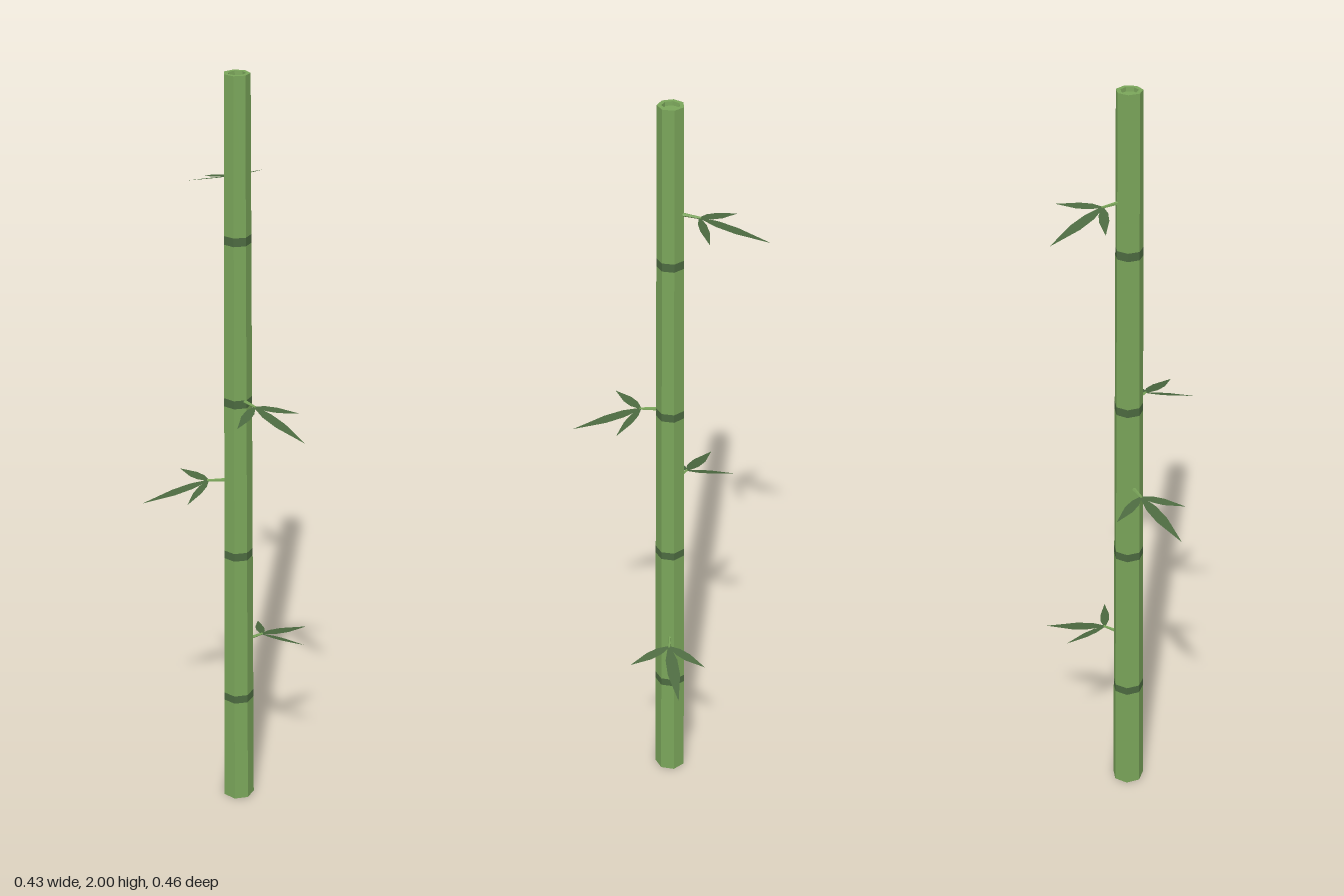
import * as THREE from 'three';

const SIDES = 7;
const stalkMat = new THREE.MeshStandardMaterial({ color: 0x7aa55a, flatShading: true });
const nodeMat = new THREE.MeshStandardMaterial({ color: 0x4c6a40, flatShading: true });
const leafMat = new THREE.MeshStandardMaterial({ color: 0x4c6a40, flatShading: true, side: THREE.DoubleSide });

const radiusAt = (y) => THREE.MathUtils.lerp(0.042, 0.033, y / 2);

function add(parent, geometry, material, name) {
  const mesh = new THREE.Mesh(geometry, material);
  mesh.name = name;
  parent.add(mesh);
  return mesh;
}

// Seven-sided ring of surface from a list of [radius, height]
function turned(profile) {
  const points = profile.map(([r, y]) => new THREE.Vector2(r, y));
  return new THREE.LatheGeometry(points, SIDES, Math.PI / 2);
}

// Tapered stalk with flush dark nodes and a shallow hollow at the cut top
function buildStalk() {
  const stalk = new THREE.Group();
  stalk.name = 'stalk';
  const nodes = [0.31, 0.735, 1.163, 1.59];
  const half = 0.011;
  let start = 0;
  [...nodes, null].forEach((node) => {
    const end = node === null ? 2 : node - half;
    const profile = [[radiusAt(start), start], [radiusAt(end), end]];
    if (start === 0) profile.unshift([0, 0]);
    if (node === null) profile.push([0.022, 2], [0.021, 1.99], [0, 1.99]);
    add(stalk, turned(profile), stalkMat, 'stalkSection');
    if (node === null) return;
    start = node + half;
    add(stalk, turned([[radiusAt(end), end], [radiusAt(start), start]]), nodeMat, 'stalkNode');
  });
  return stalk;
}

// Joint where the three leaves of a sprig meet, and the shared droop of their plane
const JOINT = new THREE.Vector2(0.075, 0.01);
const droop = (x, z) => -0.265 * (0.987 * (x - JOINT.x) - 0.158 * (z - JOINT.y));

// Flat pointed leaf from the joint to a tip given in the sprig's x and z
function leafGeometry(tipX, tipZ, width) {
  const along = new THREE.Vector2(tipX, tipZ).sub(JOINT);
  const across = new THREE.Vector2(-along.y, along.x).normalize().multiplyScalar(width / 2);
  const at = (t, w) => JOINT.clone().addScaledVector(along, t).addScaledVector(across, w);
  const outline = [at(0, 0.2), at(0.25, 0.95), at(0.52, 1), at(1, 0), at(0.52, -1), at(0.25, -0.95), at(0, -0.2)];
  const shape = new THREE.Shape(outline.map((p) => new THREE.Vector2(p.x, -p.y)));
  const geometry = new THREE.ShapeGeometry(shape).rotateX(-Math.PI / 2);
  const pos = geometry.attributes.position;
  for (let i = 0; i < pos.count; i++) pos.setY(i, droop(pos.getX(i), pos.getZ(i)));
  geometry.computeVertexNormals();
  return geometry;
}

// Twig with one long leaf and two short side leaves
function buildSprig() {
  const sprig = new THREE.Group();
  sprig.name = 'sprig';
  const from = new THREE.Vector3(0.026, 0, 0.004);
  const to = new THREE.Vector3(JOINT.x + 0.003, 0, JOINT.y);
  const dir = to.clone().sub(from);
  const twig = add(sprig, new THREE.CylinderGeometry(0.003, 0.005, dir.length(), 5), stalkMat, 'twig');
  twig.position.copy(from).add(to).multiplyScalar(0.5);
  twig.quaternion.setFromUnitVectors(new THREE.Vector3(0, 1, 0), dir.normalize());
  add(sprig, leafGeometry(0.248, 0, 0.033), leafMat, 'longLeaf');
  add(sprig, leafGeometry(0.144, -0.08, 0.024), leafMat, 'sideLeaf');
  add(sprig, leafGeometry(0.131, 0.118, 0.023), leafMat, 'sideLeaf');
  return sprig;
}

export function createModel() {
  const model = new THREE.Group();
  model.name = 'bambooStalk';
  model.add(buildStalk());
  // Sprigs at [height, heading in degrees]
  for (const [y, heading] of [[0.466, -9.1], [0.941, 139.7], [1.17, -99], [1.725, 59]]) {
    const sprig = buildSprig();
    sprig.position.y = y;
    sprig.rotation.y = THREE.MathUtils.degToRad(heading);
    model.add(sprig);
  }
  // The stalk stands slightly off centre so that the foliage is centred
  model.children.forEach((part) => {
    part.position.x = -0.027;
    part.position.z = -0.017;
  });
  return model;
}
